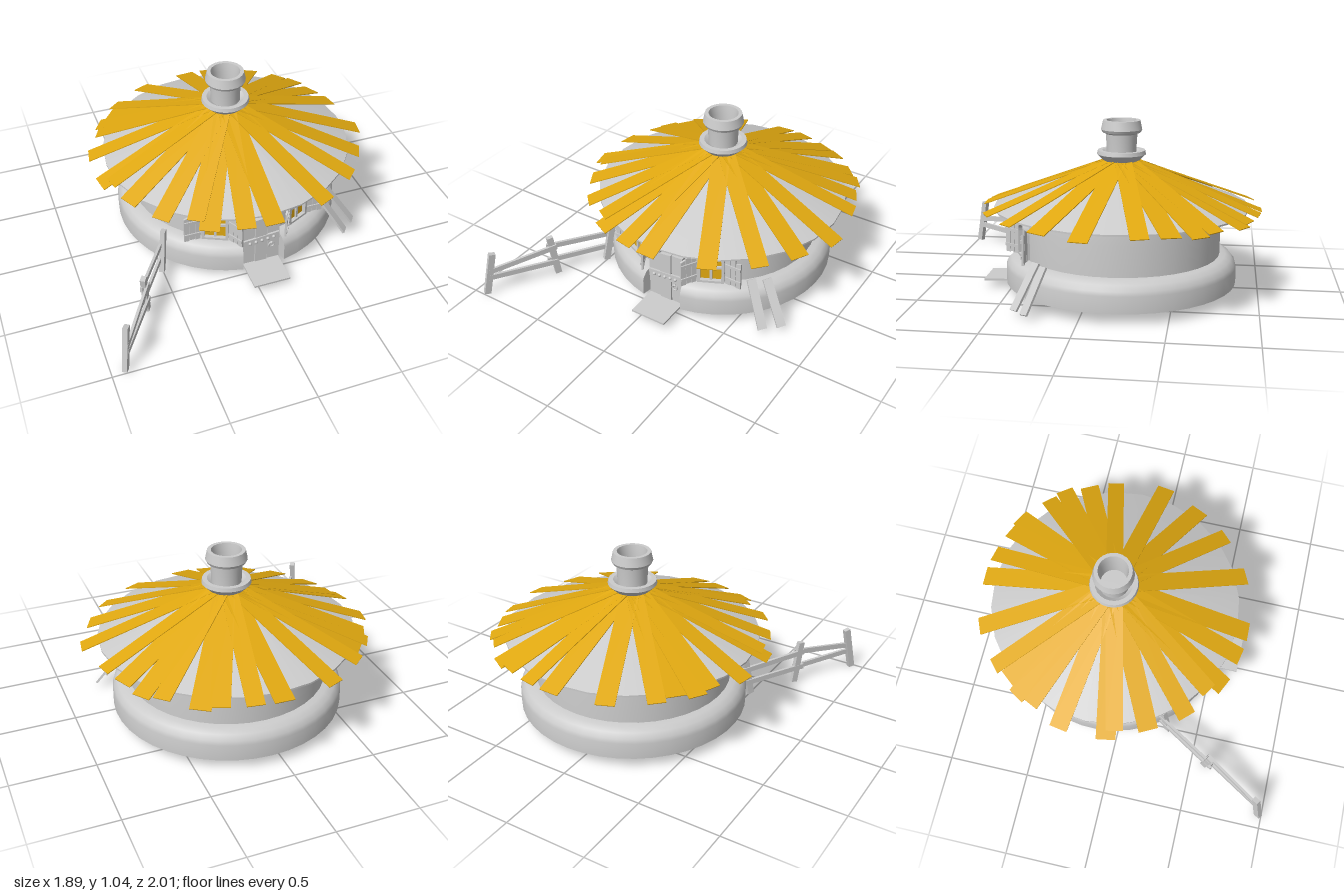
import * as THREE from 'three';
import { toCreasedNormals } from 'three/addons/utils/BufferGeometryUtils.js';

const grey = new THREE.MeshStandardMaterial({ color: 0xcccccc });
const greyOpen = new THREE.MeshStandardMaterial({ color: 0xcccccc, side: THREE.DoubleSide });
const yellow = new THREE.MeshStandardMaterial({ color: 0xe0a810, side: THREE.DoubleSide });
const V = (x, y, z) => new THREE.Vector3(x, y, z);

function add(parent, name, geo, mat, x = 0, y = 0, z = 0) {
  const m = new THREE.Mesh(geo, mat);
  m.name = name;
  m.position.set(x, y, z);
  parent.add(m);
  return m;
}

function group(parent, name) {
  const g = new THREE.Group();
  g.name = name;
  parent.add(g);
  return g;
}

function lathe(points, segments, start = 0, length = Math.PI * 2) {
  const pts = points.map(([r, y]) => new THREE.Vector2(r, y));
  return toCreasedNormals(new THREE.LatheGeometry(pts, segments, start, length), 0.5);
}

// Board running from a to b, its thin side turned towards "face"
function beam(parent, name, a, b, width, thick, face) {
  const dir = b.clone().sub(a);
  const m = add(parent, name, new THREE.BoxGeometry(width, dir.length(), thick), grey);
  const up = dir.clone().normalize();
  const side = up.clone().cross(face).normalize();
  const out = side.clone().cross(up);
  m.quaternion.setFromRotationMatrix(new THREE.Matrix4().makeBasis(side, up, out));
  m.position.copy(a).add(b).multiplyScalar(0.5);
  return m;
}

// Upright board with a slanted top, standing on y = 0
function plank(w, hLeft, hRight, depth) {
  const s = new THREE.Shape([[-w / 2, 0], [w / 2, 0], [w / 2, hRight], [-w / 2, hLeft]]
    .map(([x, y]) => new THREE.Vector2(x, y)));
  return new THREE.ExtrudeGeometry(s, { depth, bevelEnabled: false });
}

// Round-topped outline for windows
function arch(path, w, h) {
  path.moveTo(-w, 0);
  path.lineTo(w, 0);
  path.lineTo(w, h - w);
  path.absarc(0, h - w, w, 0, Math.PI, false);
  path.closePath();
  return path;
}

function makeShutter(parent, side, angle) {
  const hinge = group(parent, 'shutter');
  hinge.position.set(side * 0.088, 0, 0.012);
  hinge.rotation.y = -side * angle;
  [0.175, 0.185, 0.17].forEach((h, i) =>
    add(hinge, 'shutterBoard', plank(0.032, h, h + 0.012, 0.012), grey, side * (0.02 + i * 0.035), 0.005 * (i % 2), 0));
  for (const y of [0.045, 0.14])
    add(hinge, 'shutterBar', new THREE.BoxGeometry(0.104, 0.018, 0.008), grey, side * 0.055, y, 0.015);
}

function makeWindow(house, side) {
  const w = group(house, 'window');
  const a = side * 0.445;
  w.position.set(Math.sin(a) * 0.597, 0.24, Math.cos(a) * 0.597);
  w.rotation.y = a;
  const frame = arch(new THREE.Shape(), 0.08, 0.225);
  const hole = arch(new THREE.Path(), 0.063, 0.193);
  hole.curves.forEach(c => {
    if (c.isLineCurve) { c.v1.y += 0.015; c.v2.y += 0.015; } else c.aY += 0.015;
  });
  frame.holes.push(hole);
  const fg = new THREE.ExtrudeGeometry(frame, { depth: 0.05, bevelEnabled: false, curveSegments: 14 });
  add(w, 'windowFrame', toCreasedNormals(fg, 0.5), grey, 0, 0, -0.02);
  add(w, 'windowPane', new THREE.ShapeGeometry(arch(new THREE.Shape(), 0.07, 0.215), 14), yellow, 0, 0, 0.006);
  add(w, 'windowBar', new THREE.BoxGeometry(0.016, 0.2, 0.014), grey, 0, 0.112, 0.012);
  add(w, 'windowBar', new THREE.BoxGeometry(0.13, 0.016, 0.014), grey, 0, 0.105, 0.012);
  makeShutter(w, side, 0.45);
  makeShutter(w, -side, 0.62);
}

function makeDoor(house) {
  const door = group(house, 'door');
  door.position.set(0, 0.045, 0.605);
  [[-0.08, 0.355, 0.345], [0, 0.335, 0.345], [0.08, 0.345, 0.35]].forEach(([x, l, r], i) =>
    add(door, 'doorBoard', plank(0.076, l, r, 0.03), grey, x, 0, i === 1 ? 0.006 : 0));
  // lower cross board with its studs
  const bar = add(door, 'doorCrossBoard', new THREE.BoxGeometry(0.23, 0.05, 0.012), grey, 0, 0.18, 0.036);
  bar.rotation.z = 0.1;
  for (let i = 0; i < 5; i++)
    add(door, 'doorStud', new THREE.SphereGeometry(0.011, 10, 8), grey, -0.076 + i * 0.038, 0.172 + i * 0.004, 0.044);
  add(door, 'doorKnocker', new THREE.TorusGeometry(0.017, 0.005, 8, 16), grey, 0.066, 0.12, 0.036);
  add(door, 'doorKnob', new THREE.SphereGeometry(0.009, 10, 8), grey, 0.066, 0.137, 0.038);
  const step = add(house, 'doorstep', new THREE.BoxGeometry(0.23, 0.012, 0.2), grey, 0, 0.045, 0.735);
  step.rotation.x = 0.03;
}

function makeRoof(house) {
  const roof = group(house, 'roof');
  add(roof, 'roofCone', lathe([[0, 0.515], [0.77, 0.515], [0.77, 0.525], [0.1, 0.775], [0, 0.8]], 24), greyOpen);
  // Straw strips: bearing in degrees (0 = front, 90 = left) and reach
  const strips = [[0, 0.84], [25.5, 0.84], [46, 0.84], [63, 0.84], [81, 0.87], [103, 0.835], [115, 0.83],
    [126, 0.86], [134, 0.84], [149, 0.86], [156, 0.84], [169, 0.84], [180, 0.84], [203, 0.85], [222, 0.84],
    [230, 0.81], [238, 0.84], [245, 0.82], [279.5, 0.86], [260, 0.86], [283, 0.81], [297, 0.83], [314, 0.84],
    [328, 0.8], [334, 0.85], [348.5, 0.84]];
  const slope = Math.atan(0.375);
  strips.forEach(([deg, reach], i) => {
    const spoke = group(roof, 'strawStrip');
    spoke.rotation.y = THREE.MathUtils.degToRad(deg);
    const len = (reach - 0.04) / Math.cos(slope);
    const g = new THREE.BoxGeometry(0.118 - 0.008 * (i % 3), 0.005, len);
    g.translate(0, 0, len / 2);
    const s = add(spoke, 'strip', g, yellow, 0, 0.81 + 0.002 * (i % 3), 0.04);
    s.rotation.x = slope;
    s.rotation.z = 0.04 * ((i % 3) - 1);
  });
}

function makeFence(root) {
  const fence = group(root, 'fence');
  const along = V(0.53, 0, -0.85);
  const face = V(0.85, 0, 0.53);
  const posts = [[V(-0.92, 0, 0.98), V(-0.885, 0.285, 0.93)],
    [V(-0.68, 0.005, 0.585), V(-0.7, 0.285, 0.615)],
    [V(-0.505, 0.005, 0.31), V(-0.475, 0.285, 0.265)]];
  posts.forEach(([a, b]) => beam(fence, 'fencePost', a, b, 0.04, 0.03, face));
  // rails: start and end distance along the fence, with heights
  const at = (d, y) => V(-0.91, y, 0.96).addScaledVector(along, d);
  [[0, 0.16, 0.44, 0.215], [0, 0.118, 0.44, 0.1], [0.38, 0.215, 0.84, 0.185], [0.38, 0.108, 0.84, 0.092]]
    .forEach(([d0, y0, d1, y1], i) =>
      beam(fence, 'fenceRail', at(d0, y0), at(d1, y1), 0.034, 0.016, face).position
        .addScaledVector(face, i < 2 ? 0.012 : -0.012));
}

export function createModel() {
  const root = new THREE.Group();
  root.name = 'roundHut';
  const house = group(root, 'house');
  house.position.set(0.075, 0, -0.165);

  add(house, 'wall', lathe([[0, 0.06], [0.6, 0.06], [0.6, 0.42], [0.588, 0.53]], 40), grey);

  // Base ring, open below and broken at the doorway
  const gap = 0.19;
  const ring = [[0.7, 0.06], [0.7, 0.16], [0.693, 0.185], [0.67, 0.215], [0.635, 0.233], [0.59, 0.238]];
  add(house, 'baseRing', lathe(ring, 40, gap, Math.PI * 2 - gap * 2), greyOpen);
  const end = new THREE.Shape([...ring, [0.59, 0.06]].map(([x, y]) => new THREE.Vector2(x, y)));
  for (const s of [-1, 1])
    add(house, 'baseRingEnd', new THREE.ShapeGeometry(end), greyOpen).rotation.y = s * gap - Math.PI / 2;

  makeRoof(house);

  // Chimney collar, shaft and hollow cap
  add(house, 'chimneyCollar', lathe([[0.09, 0.78], [0.105, 0.79], [0.148, 0.832], [0.143, 0.855],
    [0.115, 0.855], [0.09, 0.838]], 24), greyOpen);
  add(house, 'chimneyShaft', lathe([[0.09, 0.8], [0.09, 0.87], [0.096, 0.965]], 24), greyOpen);
  add(house, 'chimneyCap', lathe([[0.092, 0.952], [0.115, 0.963], [0.124, 0.98], [0.112, 1.035],
    [0.09, 1.035], [0.082, 0.98], [0.08, 0.86], [0, 0.86]], 24), greyOpen);

  makeDoor(house);
  makeWindow(house, -1);
  makeWindow(house, 1);
  makeFence(root);

  // Loose boards leaning on the base
  const lean = V(0.75, 0.4, 0.6);
  beam(root, 'leaningBoard', V(0.545, 0.265, 0.27), V(0.69, 0.025, 0.375), 0.055, 0.014, lean);
  beam(root, 'leaningBoard', V(0.62, 0.265, 0.215), V(0.775, 0.03, 0.3), 0.055, 0.014, lean);
  return root;
}
